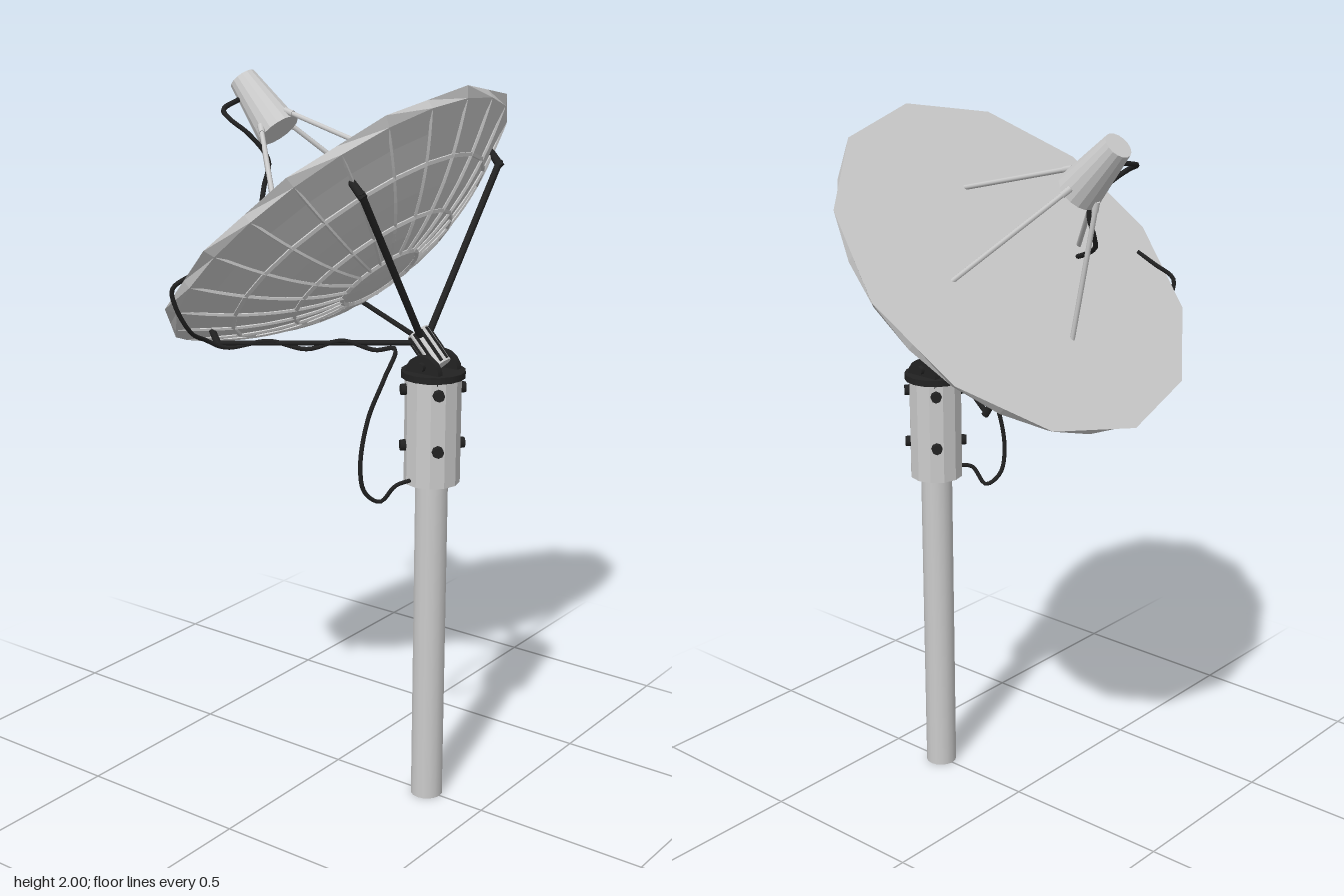
import * as THREE from 'three';

const grey = new THREE.MeshStandardMaterial({ color: 0xcccccc, flatShading: true, side: THREE.DoubleSide });
const smoothGrey = new THREE.MeshStandardMaterial({ color: 0xcccccc });
const black = new THREE.MeshStandardMaterial({ color: 0x222222 });
const V = (x, y, z) => new THREE.Vector3(x, y, z);

const R = 0.553, DEPTH = 0.208, SEGS = 24;
const TILT = THREE.MathUtils.degToRad(-43.2);
const shellY = r => -DEPTH * (1 - (r / R) ** 2);

function add(parent, name, geometry, material, x = 0, y = 0, z = 0) {
  const mesh = new THREE.Mesh(geometry, material);
  mesh.name = name;
  mesh.position.set(x, y, z);
  parent.add(mesh);
  return mesh;
}

// Straight round bar between two points
function rod(parent, name, a, b, ra, rb, material, sides = 8) {
  const mesh = add(parent, name, new THREE.CylinderGeometry(rb, ra, a.distanceTo(b), sides), material);
  mesh.position.copy(a).add(b).multiplyScalar(0.5);
  mesh.quaternion.setFromUnitVectors(V(0, 1, 0), b.clone().sub(a).normalize());
}

function cable(parent, name, points, radius) {
  const curve = new THREE.CatmullRomCurve3(points.map(p => V(...p)));
  add(parent, name, new THREE.TubeGeometry(curve, points.length * 6, radius, 6), black);
}

function buildDish() {
  const dish = new THREE.Group();
  dish.name = 'dish';

  // Curved back, with the rim straightened to twelve sides
  const profile = [0, 0.06, 0.12, 0.185, 0.25, 0.325, 0.4, 0.47].map(r => new THREE.Vector2(r, shellY(r)));
  profile.push(new THREE.Vector2(0.532, -0.024), new THREE.Vector2(R, 0));
  const shell = new THREE.LatheGeometry(profile, SEGS);
  const pos = shell.attributes.position;
  const s = Math.cos(Math.PI / 12);
  for (let i = 1; i < SEGS; i += 2) {
    const k = i * profile.length + profile.length - 1;
    pos.setXYZ(k, pos.getX(k) * s, 0, pos.getZ(k) * s);
  }
  add(dish, 'dishBack', shell, grey);

  // Flat front face
  const face = add(dish, 'dishFace', new THREE.CircleGeometry(R, 12), smoothGrey);
  face.rotation.x = -Math.PI / 2;

  // Ring and radial ribs on the back
  for (const r of [0.12, 0.25, 0.4]) {
    const ring = add(dish, 'ringRib', new THREE.TorusGeometry(r, 0.007, 4, SEGS), grey, 0, shellY(r) - 0.002, 0);
    ring.rotation.x = Math.PI / 2;
  }
  const ribCurve = new THREE.CatmullRomCurve3(
    [0.12, 0.185, 0.25, 0.325, 0.4, 0.47, 0.525].map(r => V(0, shellY(r) - 0.003, r)));
  const ribGeometry = new THREE.TubeGeometry(ribCurve, 12, 0.005, 4);
  for (let i = 0; i < SEGS; i++) {
    add(dish, 'radialRib', ribGeometry, grey).rotation.y = i * Math.PI * 2 / SEGS;
  }

  // Receiver horn and its four legs
  add(dish, 'receiver', new THREE.CylinderGeometry(0.039, 0.062, 0.18, 16), grey, 0, 0.387, 0);
  for (let i = 0; i < 4; i++) {
    const leg = new THREE.Group();
    leg.name = 'receiverLeg';
    leg.rotation.y = i * Math.PI / 2;
    rod(leg, 'legBar', V(0.26, -0.005, 0), V(0.057, 0.32, 0), 0.007, 0.007, smoothGrey);
    rod(leg, 'legSocket', V(0.07, 0.299, 0), V(0.055, 0.323, 0), 0.009, 0.009, smoothGrey);
    dish.add(leg);
  }

  dish.position.set(0, 1.622, 0.001);
  dish.rotation.x = TILT;
  return dish;
}

function buildMast() {
  const mast = new THREE.Group();
  mast.name = 'mast';
  add(mast, 'pole', new THREE.CylinderGeometry(0.045, 0.045, 0.96, 16), [smoothGrey, smoothGrey, black], 0, 0.48, 0);
  add(mast, 'sleeve', new THREE.CylinderGeometry(0.076, 0.076, 0.295, 12), [grey, grey, black], 0, 1.0875, 0);
  add(mast, 'topPlate', new THREE.CylinderGeometry(0.087, 0.087, 0.018, 16), black, 0, 1.242, 0);

  // Bolts on the diagonals
  for (const y of [1.045, 1.2]) for (let i = 0; i < 4; i++) {
    const a = Math.PI / 4 + i * Math.PI / 2;
    rod(mast, 'bolt', V(Math.sin(a) * 0.068, y, Math.cos(a) * 0.068),
      V(Math.sin(a) * 0.088, y, Math.cos(a) * 0.088), 0.017, 0.015, black);
  }

  // Half-round pivot cheeks
  for (const side of [-1, 1]) {
    const cheek = add(mast, 'pivotCheek',
      new THREE.CylinderGeometry(0.054, 0.054, 0.02, 16), black, side * 0.045, 1.245, 0);
    cheek.rotation.z = Math.PI / 2;
  }
  rod(mast, 'pivotPin', V(-0.068, 1.27, 0), V(0.068, 1.27, 0), 0.013, 0.013, black);

  // Tilted hub with dark grooves
  const hub = new THREE.Group();
  hub.name = 'hub';
  add(hub, 'hubCore', new THREE.CylinderGeometry(0.032, 0.032, 0.11, 12), grey);
  for (let i = 0; i < 10; i++) {
    const a = i * Math.PI / 5;
    add(hub, 'hubGroove', new THREE.BoxGeometry(0.007, 0.1, 0.007), black, Math.sin(a) * 0.031, 0, Math.cos(a) * 0.031);
  }
  hub.position.set(0, 1.305, -0.015);
  hub.rotation.x = TILT;
  mast.add(hub);

  mast.position.z = 0.315;
  return mast;
}

export function createModel() {
  const model = new THREE.Group();
  model.name = 'satelliteDish';
  model.add(buildMast(), buildDish());

  // Four struts from hub to dish back, each with an end clip
  for (const s of [-1, 1]) {
    rod(model, 'upperStrut', V(s * 0.012, 1.33, 0.285), V(s * 0.32, 1.765, 0.307), 0.0095, 0.0095, black);
    rod(model, 'upperClip', V(s * 0.315, 1.75, 0.312), V(s * 0.318, 1.79, 0.275), 0.012, 0.01, black);
    rod(model, 'lowerStrut', V(s * 0.012, 1.32, 0.27), V(s * 0.32, 1.315, -0.165), 0.007, 0.007, black);
    rod(model, 'lowerClip', V(s * 0.318, 1.308, -0.158), V(s * 0.315, 1.35, -0.185), 0.01, 0.009, black);
  }

  // Cable from receiver to dish face
  cable(model, 'receiverCable', [
    [-0.03, 1.92, -0.31], [-0.12, 1.9, -0.295], [-0.145, 1.88, -0.25], [-0.12, 1.84, -0.205],
    [-0.085, 1.77, -0.17], [-0.1, 1.7, -0.175], [-0.15, 1.655, -0.14], [-0.19, 1.62, -0.075], [-0.22, 1.6, -0.025],
  ], 0.007);

  // Cable through the rim, along the lower strut and down to the sleeve
  cable(model, 'mainCable', [
    [-0.458, 1.575, -0.052], [-0.485, 1.54, -0.095], [-0.512, 1.5, -0.142], [-0.503, 1.455, -0.143],
    [-0.45, 1.375, -0.14], [-0.37, 1.335, -0.16], [-0.31, 1.305, -0.14], [-0.24, 1.322, -0.05],
    [-0.18, 1.3, 0.03], [-0.13, 1.325, 0.11], [-0.08, 1.3, 0.18], [-0.07, 1.31, 0.24],
    [-0.11, 1.24, 0.235], [-0.15, 1.13, 0.21], [-0.17, 1.0, 0.2], [-0.155, 0.925, 0.205],
    [-0.12, 0.895, 0.23], [-0.105, 0.945, 0.27], [-0.06, 0.955, 0.295],
  ], 0.006);

  return model;
}
